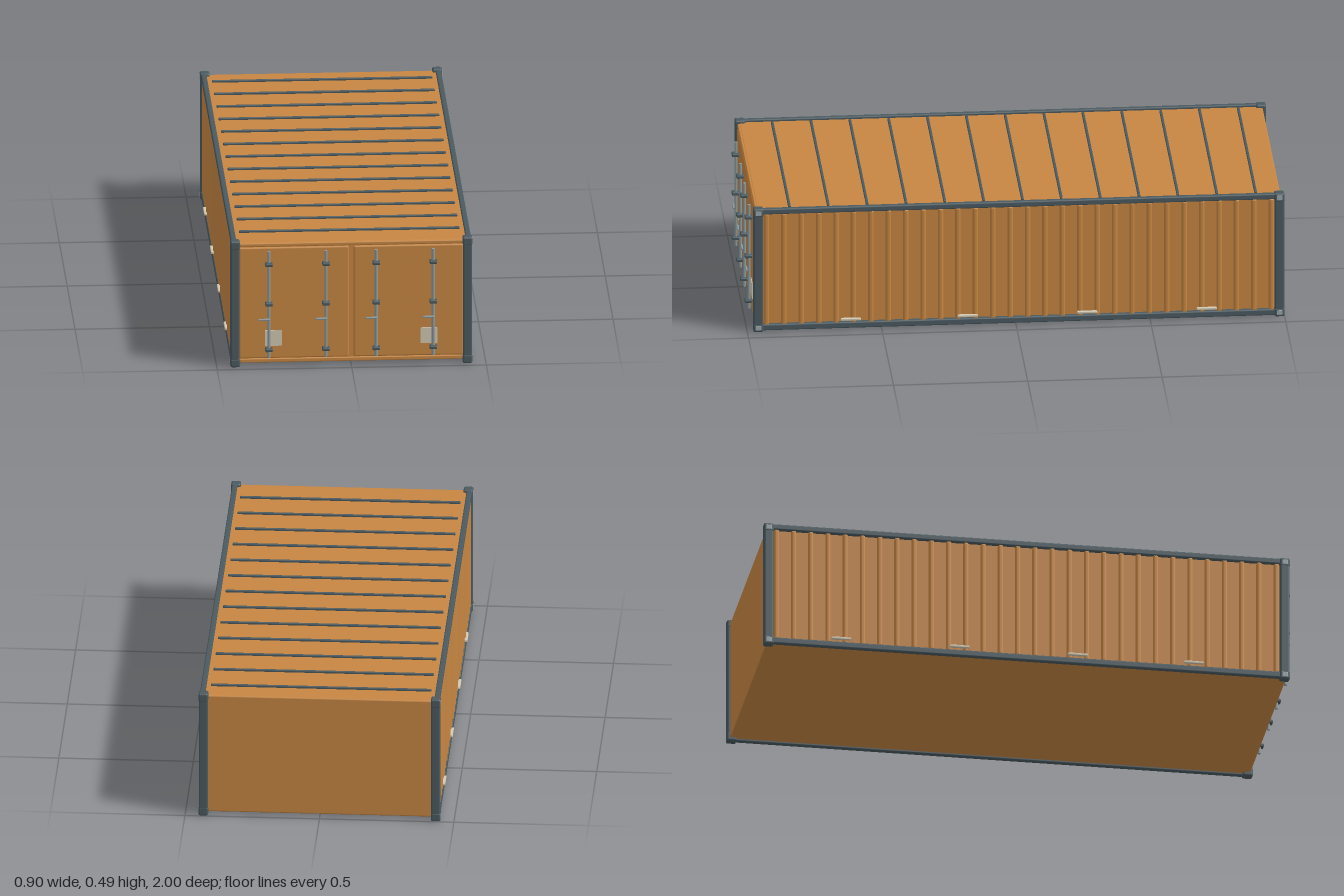
import * as THREE from 'three';
import { RoundedBoxGeometry } from 'three/addons/geometries/RoundedBoxGeometry.js';

const mat = (color) => new THREE.MeshStandardMaterial({ color });
const orange = mat(0xc68642);
const steel = mat(0x4a5a60);
const rodGrey = mat(0x8c9a9e);
const paleGrey = mat(0x9aa5a8);
const beige = mat(0xd2c8b0);

export function createModel() {
  const root = new THREE.Group();

  const add = (name, geometry, material, x, y, z) => {
    const mesh = new THREE.Mesh(geometry, material);
    mesh.name = name;
    mesh.position.set(x, y, z);
    root.add(mesh);
    return mesh;
  };
  const box = (name, m, w, h, d, x, y, z) =>
    add(name, new THREE.BoxGeometry(w, h, d), m, x, y, z);
  const rounded = (name, m, w, h, d, x, y, z, r) =>
    add(name, new RoundedBoxGeometry(w, h, d, 2, r), m, x, y, z);

  const midZ = -0.012;

  // Main hull
  rounded('body', orange, 0.862, 0.47, 1.95, 0, 0.253, midZ, 0.006);

  // Corrugated side walls, rails and fittings, mirrored
  const ribGeometry = new RoundedBoxGeometry(0.022, 0.45, 0.02, 2, 0.008);
  for (const s of [-1, 1]) {
    const side = s > 0 ? 'left' : 'right';
    for (let i = 0; i < 30; i++) {
      add(side + 'WallRib', ribGeometry, orange, s * 0.433, 0.253, 0.928 - i * 0.0648);
    }
    rounded(side + 'TopRail', steel, 0.02, 0.022, 1.95, s * 0.436, 0.486, midZ, 0.005);
    rounded(side + 'BottomRail', steel, 0.02, 0.024, 1.95, s * 0.436, 0.022, midZ, 0.005);
    for (const z of [0.615, 0.18, -0.265, -0.71]) {
      rounded(side + 'TiePlate', beige, 0.012, 0.01, 0.075, s * 0.446, 0.046, z, 0.003);
    }

    // Corner posts with castings at both ends
    for (const z of [0.959, -0.981]) {
      rounded(side + 'CornerPost', steel, 0.034, 0.494, 0.036, s * 0.432, 0.252, z, 0.007);
      for (const y of [0.022, 0.482]) {
        rounded('cornerCasting', steel, 0.036, 0.034, 0.038, s * 0.432, y, z, 0.007);
        rounded('castingFace', paleGrey, 0.006, 0.02, 0.022, s * 0.448, y, z, 0.0025);
      }
    }
  }

  // Roof cross ribs
  for (let i = 0; i < 13; i++) {
    rounded('roofRib', steel, 0.82, 0.01, 0.01, 0, 0.491, -0.895 + i * 0.1446, 0.003);
  }

  // Front header and sill
  rounded('doorHeader', orange, 0.83, 0.014, 0.012, 0, 0.48, 0.963, 0.004);
  rounded('doorSill', orange, 0.83, 0.016, 0.012, 0, 0.028, 0.963, 0.004);

  // Doors
  for (const s of [-1, 1]) {
    rounded('doorPanel', orange, 0.408, 0.434, 0.016, s * 0.213, 0.254, 0.962, 0.006);
    box('doorPlate', beige, 0.064, 0.061, 0.004, s * 0.289, 0.117, 0.971);
  }

  // Locking rods, each with three clamps and a handle
  const rodGeometry = new THREE.CylinderGeometry(0.006, 0.006, 0.415, 12);
  for (const x of [-0.307, -0.095, 0.092, 0.304]) {
    add('lockRod', rodGeometry, rodGrey, x, 0.252, 0.983);
    for (const y of [0.41, 0.255, 0.076]) {
      rounded('rodClamp', steel, 0.028, 0.013, 0.028, x, y, 0.985, 0.004);
    }
    rounded('lockHandle', rodGrey, 0.044, 0.008, 0.008, x - 0.018, 0.195, 0.991, 0.003);
  }

  return root;
}
